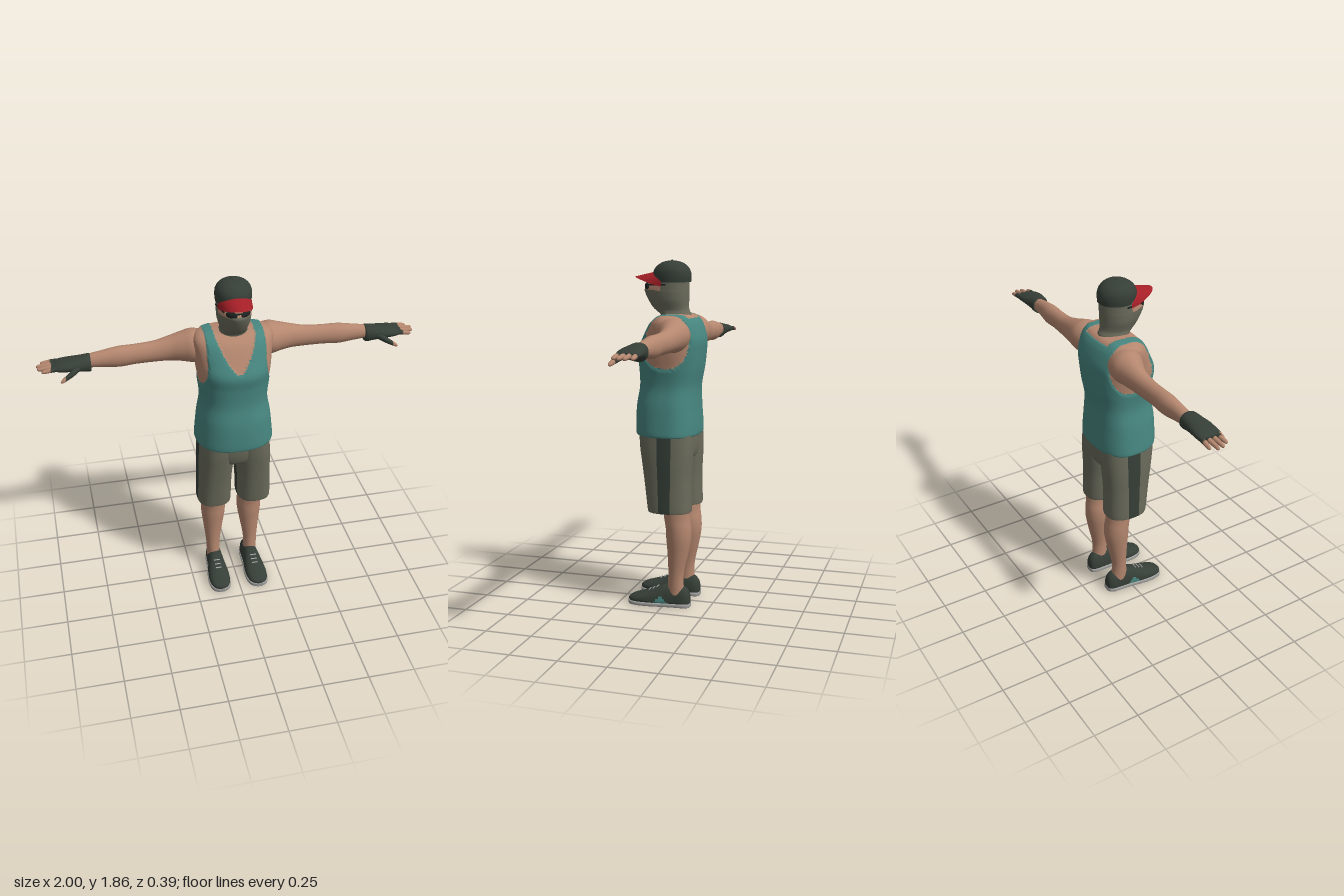
import * as THREE from 'three';

const material = (name, color, extra = {}) => Object.assign(new THREE.MeshStandardMaterial({ color, ...extra }), { name });

// Catmull-Rom blend of the key rows at k + f
function blend(keys, k, f) {
  const at = (i) => keys[Math.min(Math.max(i, 0), keys.length - 1)];
  const [a, b, c, d] = [at(k - 1), at(k), at(k + 1), at(k + 2)];
  return b.map((_, i) => b[i] + 0.5 * f * (c[i] - a[i] + f * (2 * a[i] - 5 * b[i] + 4 * c[i] - d[i]
    + f * (3 * (b[i] - c[i]) + d[i] - a[i]))));
}

// Directions a loft can run in: p is across, q is the second axis, t is along
const UP = { map: (p, q, t) => [p, t, q], flip: false };
const ALONG_X = { map: (p, q, t) => [t, p, q], flip: true };
const ALONG_Z = { map: (p, q, t) => [p, q, t], flip: true };

// Closed loft through rows of [t, centre, half width, high q, low q]
function loft(keys, { dir = UP, n = 5, seg = 24, pow = 1, mid, paint = () => 0, tweak } = {}) {
  const pos = [], buckets = [[], []], rows = (keys.length - 1) * n;
  const bend = (v) => Math.sign(v) * Math.abs(v) ** pow;
  for (let j = 0; j <= rows; j++) {
    const k = Math.min(Math.floor(j / n), keys.length - 2);
    const [t, c, h, hi, lo] = blend(keys, k, j / n - k);
    const m = mid ?? (hi + lo) / 2;
    for (let i = 0; i < seg; i++) {
      const a = (i / seg) * Math.PI * 2, s = bend(Math.sin(a));
      const v = dir.map(c + h * bend(Math.cos(a)), m + s * (s > 0 ? hi - m : m - lo), t);
      pos.push(...(tweak ? tweak(v) : v));
    }
  }
  const point = (i) => new THREE.Vector3().fromArray(pos, i * 3);
  const tri = (a, b, c, slot) => buckets[slot].push(...(dir.flip ? [a, c, b] : [a, b, c]));
  for (let j = 0; j < rows; j++) for (let i = 0; i < seg; i++) {
    const a = j * seg + i, b = j * seg + (i + 1) % seg, c = b + seg, d = a + seg;
    for (const [p, q, r] of [[a, d, c], [a, c, b]]) {
      const centre = point(p).add(point(q)).add(point(r)).divideScalar(3);
      tri(p, q, r, paint(centre, i));
    }
  }
  // flat end caps with their own corners
  for (const [row, end] of [[0, false], [rows, true]]) {
    const base = pos.length / 3, centre = new THREE.Vector3();
    for (let i = 0; i < seg; i++) {
      const v = point(row * seg + i);
      pos.push(v.x, v.y, v.z);
      centre.addScaledVector(v, 1 / seg);
    }
    pos.push(centre.x, centre.y, centre.z);
    const slot = paint(centre, -1);
    for (let i = 0; i < seg; i++) {
      const p = base + i, q = base + (i + 1) % seg;
      end ? tri(base + seg, q, p, slot) : tri(base + seg, p, q, slot);
    }
  }
  const g = new THREE.BufferGeometry();
  g.setAttribute('position', new THREE.Float32BufferAttribute(pos, 3));
  g.setIndex([...buckets[0], ...buckets[1]]);
  g.addGroup(0, buckets[0].length, 0);
  g.addGroup(buckets[0].length, buckets[1].length, 1);
  g.computeVertexNormals();
  return g;
}

function mirrored(geo) {
  const g = geo.clone().applyMatrix4(new THREE.Matrix4().makeScale(-1, 1, 1)), ix = g.index.array;
  for (let i = 0; i < ix.length; i += 3) [ix[i + 1], ix[i + 2]] = [ix[i + 2], ix[i + 1]];
  return g;
}

export function createModel() {
  const model = new THREE.Group();
  const skin = material('skin', 0xb5876f), teal = material('teal cloth', 0x478680);
  const olive = material('olive cloth', 0x6a6b5b), dark = material('dark green cloth', 0x363f37);
  const red = material('red brim', 0xa51f27, { side: THREE.DoubleSide });
  const grey = material('grey rubber', 0x9c9c9a), black = material('dark lens', 0x1f2523);
  const add = (name, geo, mat) => {
    const m = new THREE.Mesh(geo, mat);
    m.name = name;
    model.add(m);
  };
  const both = (name, geo, mat) => {
    add(name + 'Left', geo, mat);
    add(name + 'Right', mirrored(geo), mat);
  };

  // Torso: tank top with scooped neck and deep armholes, skin slightly inset
  const bare = (x, y, z) => {
    x = Math.abs(x);
    const neck = z > -0.03 ? y > 1.4 && x < 0.105 * Math.min(1, (y - 1.4) / 0.17) ** 0.6 : y > 1.56 && x < 0.105;
    const low = Math.min(Math.max((1.44 - y) / 0.16, 0), 1);
    return neck || (y > 1.28 && x > 0.153 + 0.042 * low * low);
  };
  add('torsoAndTankTop', loft([
    [0.94, 0, 0.203, 0.162, -0.164], [0.95, 0, 0.21, 0.17, -0.172], [1.0, 0, 0.206, 0.172, -0.172],
    [1.1, 0, 0.195, 0.168, -0.166], [1.2, 0, 0.179, 0.152, -0.166], [1.3, 0, 0.188, 0.155, -0.183],
    [1.38, 0, 0.199, 0.164, -0.191], [1.45, 0, 0.207, 0.134, -0.193], [1.52, 0, 0.214, 0.096, -0.17],
    [1.555, 0, 0.205, 0.065, -0.148], [1.575, 0, 0.172, 0.032, -0.125], [1.582, 0, 0.1, 0, -0.09], [1.584, 0, 0.02, -0.02, -0.05],
  ], {
    n: 9, seg: 128, pow: 0.82, mid: -0.03,
    paint: (c) => (bare(c.x, c.y, c.z) ? 1 : 0),
    tweak: ([x, y, z]) => (bare(x, y, z) ? [x * 0.975, y - 0.002, -0.03 + (z + 0.03) * 0.97] : [x, y, z]),
  }), [teal, skin]);

  // Arms
  both('arm', loft([
    [0.12, 1.475, 0.075, 0, -0.15], [0.2, 1.478, 0.088, 0.012, -0.165], [0.26, 1.474, 0.078, -0.012, -0.156],
    [0.32, 1.467, 0.067, -0.035, -0.145], [0.4, 1.458, 0.057, -0.045, -0.135], [0.5, 1.455, 0.054, -0.045, -0.13],
    [0.58, 1.452, 0.056, -0.042, -0.13], [0.66, 1.451, 0.046, -0.046, -0.12], [0.75, 1.448, 0.034, -0.05, -0.113],
  ], { dir: ALONG_X }), skin);

  // Fingerless gloves
  both('glove', loft([
    [0.727, 1.443, 0.043, -0.03, -0.12], [0.74, 1.443, 0.045, -0.025, -0.121], [0.78, 1.445, 0.038, -0.018, -0.123],
    [0.83, 1.446, 0.03, -0.01, -0.13], [0.88, 1.444, 0.024, -0.014, -0.133], [0.915, 1.441, 0.014, -0.026, -0.126],
  ], { dir: ALONG_X, pow: 0.9 }), dark);
  [[-0.118, -0.125, 0.978], [-0.092, -0.094, 1], [-0.066, -0.064, 0.996], [-0.038, -0.033, 0.976]].forEach(([z0, z1, tip], k) => {
    const row = (x, y, z, r) => [x, y, r, z + r, z - r];
    both('finger' + (k + 1), loft([
      row(0.88, 1.444, z0, 0.014), row(0.925, 1.442, (z0 + z1) / 2, 0.013), row(tip - 0.015, 1.437, z1, 0.01),
      row(tip - 0.004, 1.436, z1, 0.007), row(tip, 1.435, z1, 0.001),
    ], { dir: ALONG_X, seg: 12, paint: (c) => (c.x > 0.928 ? 1 : 0) }), [dark, skin]);
  });
  both('thumb', loft([
    [0.785, 1.44, 0.018, -0.015, -0.06], [0.82, 1.427, 0.018, 0.008, -0.03], [0.855, 1.41, 0.014, 0.02, -0.008],
    [0.878, 1.399, 0.01, 0.025, 0.005], [0.888, 1.395, 0.002, 0.02, 0.015],
  ], { dir: ALONG_X, seg: 14, paint: (c) => (c.x > 0.86 ? 1 : 0) }), [dark, skin]);

  // Shorts with dark side panels
  both('shortsLeg', loft([
    [0.535, 0.112, 0.09, 0.078, -0.148], [0.55, 0.112, 0.094, 0.083, -0.152], [0.7, 0.108, 0.094, 0.103, -0.15],
    [0.8, 0.103, 0.098, 0.118, -0.155], [0.88, 0.1, 0.097, 0.13, -0.158], [0.96, 0.095, 0.097, 0.135, -0.155],
  ], { seg: 32, pow: 0.8, mid: -0.028, paint: (c, i) => ([0, 31, 15, 16].includes(i) ? 1 : 0) }), [olive, dark]);
  add('shortsSeat', loft([
    [0.81, 0, 0.09, 0.09, -0.13], [0.83, 0, 0.1, 0.112, -0.147], [0.88, 0, 0.11, 0.127, -0.155], [0.96, 0, 0.11, 0.134, -0.155],
  ], { pow: 0.65, mid: -0.028 }), olive);

  // Lower legs
  both('leg', loft([
    [0.07, 0.108, 0.038, -0.02, -0.115], [0.14, 0.11, 0.038, -0.025, -0.11], [0.2, 0.11, 0.042, -0.027, -0.114],
    [0.3, 0.107, 0.056, -0.022, -0.136], [0.38, 0.105, 0.067, -0.015, -0.15], [0.44, 0.105, 0.069, -0.012, -0.15],
    [0.5, 0.108, 0.064, -0.003, -0.143], [0.58, 0.11, 0.063, 0, -0.14],
  ]), skin);

  // Shoes, soles and laces
  const shoe = [
    [-0.145, 0.102, 0.012, 0.06, 0.02], [-0.138, 0.102, 0.03, 0.088, 0.012], [-0.11, 0.103, 0.042, 0.114, 0.012],
    [-0.06, 0.104, 0.045, 0.119, 0.012], [-0.01, 0.106, 0.048, 0.118, 0.012], [0.02, 0.107, 0.052, 0.108, 0.012],
    [0.07, 0.108, 0.058, 0.086, 0.012], [0.12, 0.109, 0.059, 0.069, 0.012], [0.16, 0.11, 0.052, 0.056, 0.012],
    [0.185, 0.111, 0.037, 0.045, 0.014], [0.197, 0.111, 0.012, 0.034, 0.018],
  ];
  both('shoe', loft(shoe, {
    dir: ALONG_Z, n: 6, seg: 40, pow: 0.85, mid: 0.03,
    paint: (c) => (c.x > 0.12 && c.y < 0.066 - Math.abs(c.z - 0.01) * 1.1 ? 1 : 0),
  }), [dark, teal]);
  both('sole', loft(shoe.map(([z, c, h]) => [z * 1.01, c, h + 0.004, 0.022, 0]), { dir: ALONG_Z, pow: 0.35 }), grey);
  [[0.035, 0.103], [0.058, 0.092], [0.081, 0.083]].forEach(([z, y], k) =>
    both('lace' + (k + 1), new THREE.BoxGeometry(0.034, 0.005, 0.006).rotateX(0.42).translate(0.108, y, z), grey));

  // Head: cloth mask and neck gaiter with a bare strip at the eyes
  add('headAndMask', loft([
    [1.54, 0, 0.07, 0.03, -0.112], [1.555, 0, 0.076, 0.042, -0.12], [1.578, 0, 0.073, 0.048, -0.118],
    [1.597, 0, 0.07, 0.073, -0.108], [1.615, 0, 0.074, 0.092, -0.104], [1.65, 0, 0.084, 0.115, -0.104],
    [1.69, 0, 0.088, 0.134, -0.105], [1.71, 0, 0.088, 0.136, -0.105], [1.735, 0, 0.088, 0.118, -0.105],
    [1.765, 0, 0.088, 0.1, -0.105], [1.8, 0, 0.08, 0.07, -0.1],
  ], {
    n: 6, seg: 48, mid: -0.01,
    paint: (c) => (c.z > 0.03 && c.y > 1.7 + 0.016 * (1 - Math.abs(c.x) / 0.09) ? 1 : 0),
  }), [olive, skin]);

  // Sunglasses
  both('lens', new THREE.SphereGeometry(1, 20, 12).scale(0.031, 0.019, 0.009).rotateY(0.6).translate(0.036, 1.723, 0.115), black);
  add('glassesBridge', new THREE.BoxGeometry(0.028, 0.006, 0.008).translate(0, 1.73, 0.126), black);
  both('glassesArm', new THREE.BoxGeometry(0.005, 0.008, 0.1).rotateY(-0.22).translate(0.08, 1.732, 0.045), black);

  // Cap with button and curved brim
  add('cap', loft([
    [1.745, 0, 0.091, 0.086, -0.114], [1.78, 0, 0.094, 0.09, -0.116], [1.81, 0, 0.09, 0.082, -0.108],
    [1.835, 0, 0.073, 0.06, -0.087], [1.851, 0, 0.045, 0.03, -0.056], [1.857, 0, 0.01, -0.003, -0.023],
  ], { seg: 36, mid: -0.013 }), dark);
  add('capButton', new THREE.SphereGeometry(0.008, 12, 8).scale(1, 0.5, 1).translate(0, 1.857, -0.013), dark);
  const brim = new THREE.PlaneGeometry(2, 1, 28, 8), p = brim.attributes.position;
  for (let i = 0; i < p.count; i++) {
    const u = p.getX(i), v = p.getY(i) + 0.5, a = u * 1.2;
    const reach = 0.105 * v * Math.max(0, Math.cos(u * Math.PI / 2)) ** 0.6;
    p.setXYZ(i, 0.094 * Math.sin(a), 1.797 - 0.024 * v - 0.05 * u * u, -0.014 + 0.1 * Math.cos(a) + reach);
  }
  brim.computeVertexNormals();
  add('capBrim', brim, red);

  return model;
}
